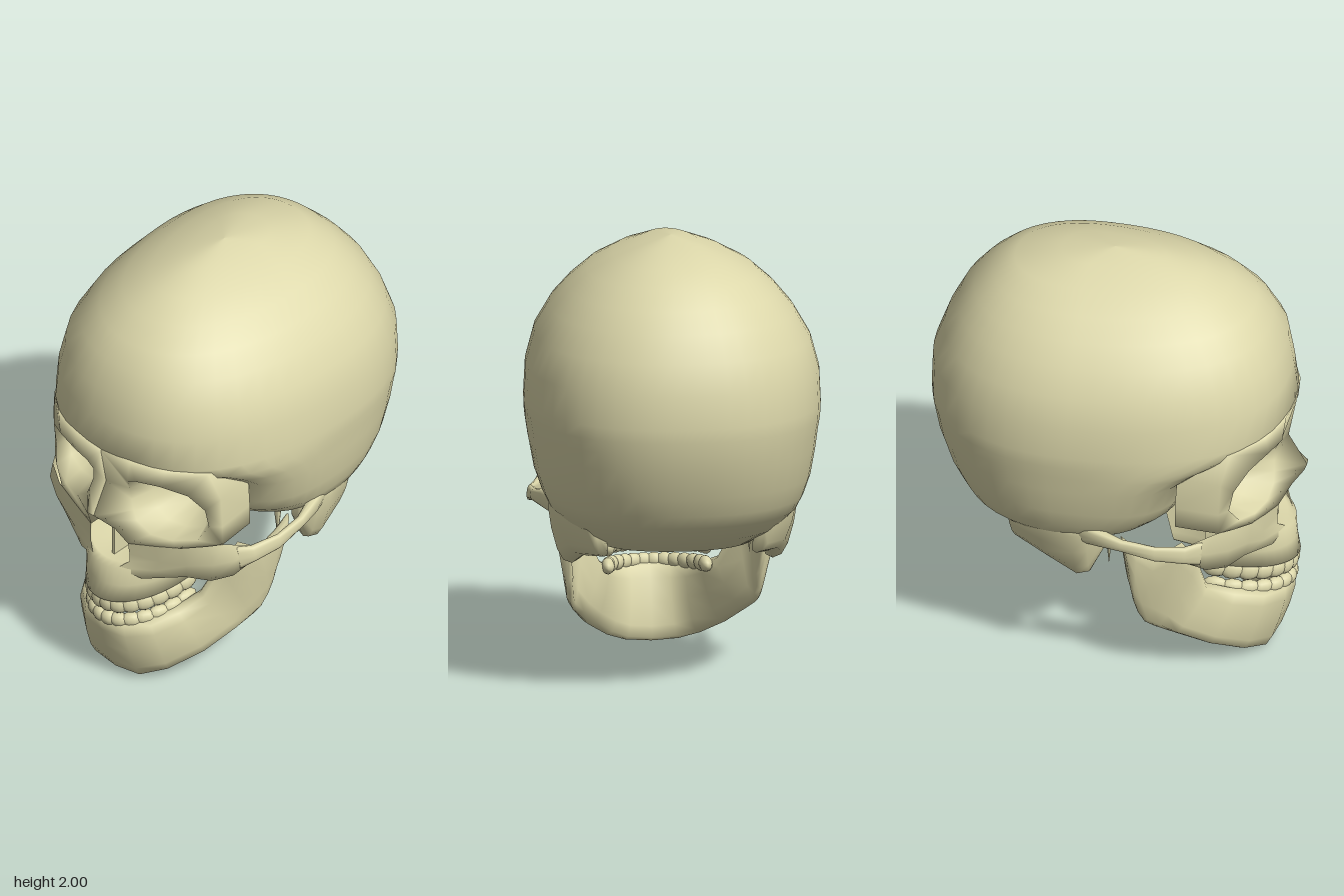
import * as THREE from 'three';

const V = (x, y, z) => new THREE.Vector3(x, y, z);
const bone = new THREE.MeshStandardMaterial({ color: 0xdcd7aa, side: THREE.DoubleSide });

function mesh(name, geometry) {
  const m = new THREE.Mesh(geometry, bone);
  m.name = name;
  return m;
}

// Smooth skin over rows of points; closed joins the end of each row to its start
function skin(rows, closed = false) {
  const n = rows[0].length, index = [];
  for (let i = 0; i < rows.length - 1; i++) {
    for (let j = 0; j < (closed ? n : n - 1); j++) {
      const k = (j + 1) % n;
      const a = i * n + j, b = a + n, c = (i + 1) * n + k, d = i * n + k;
      index.push(a, b, d, b, c, d);
    }
  }
  const g = new THREE.BufferGeometry().setFromPoints(rows.flat());
  g.setIndex(index);
  g.computeVertexNormals();
  return g;
}

// Bony plate swept through stations [lower edge xyz, upper edge xyz, half thickness]
function plate(stations) {
  const low = stations.map(s => V(s[0], s[1], s[2]));
  const up = stations.map(s => V(s[3], s[4], s[5]));
  const mid = low.map((p, i) => p.clone().lerp(up[i], 0.5));
  const pow = v => Math.sign(v) * Math.abs(v) ** 0.75;
  const rows = stations.map((s, i) => {
    const along = mid[Math.min(i + 1, mid.length - 1)].clone().sub(mid[Math.max(i - 1, 0)]);
    const axis = up[i].clone().sub(mid[i]);
    const out = along.cross(V(0, 1, 0)).normalize();
    return Array.from({ length: 12 }, (_, j) => {
      const a = j / 12 * Math.PI * 2;
      return mid[i].clone().addScaledVector(axis, pow(Math.cos(a))).addScaledVector(out, -s[6] * pow(Math.sin(a)));
    });
  });
  // Close both ends
  rows.unshift(rows[0].map(() => mid[0].clone()));
  rows.push(rows[0].map(() => mid[mid.length - 1].clone()));
  return skin(rows, true);
}

// Braincase rings: y, half width, back z, front z, squareness of the front half
function cranium() {
  const rings = [
    [2.0, 0, -0.03, -0.03, 2], [1.978, 0.13, -0.27, 0.21, 2], [1.925, 0.26, -0.48, 0.38, 2.1],
    [1.86, 0.375, -0.58, 0.5, 2.2], [1.78, 0.465, -0.66, 0.61, 2.2], [1.69, 0.54, -0.73, 0.68, 2.3],
    [1.57, 0.61, -0.79, 0.745, 2.3], [1.43, 0.648, -0.84, 0.768, 2.3], [1.28, 0.655, -0.845, 0.787, 2.3],
    [1.22, 0.652, -0.842, 0.7, 2.6], [1.16, 0.642, -0.83, 0.53, 3.4], [1.08, 0.632, -0.815, 0.41, 3.6],
    [0.95, 0.61, -0.77, 0.38, 3.2], [0.86, 0.58, -0.725, 0.34, 2.8], [0.8, 0.55, -0.69, 0.28, 2.5],
    [0.72, 0.47, -0.6, 0.1, 2.3], [0.645, 0.36, -0.45, 0, 2.2], [0.615, 0, -0.2, -0.2, 2],
  ];
  return skin(rings.map(([y, w, back, front, square]) => {
    const zc = Math.min(Math.max(-0.12, back), front);
    return Array.from({ length: 48 }, (_, j) => {
      const a = j / 48 * Math.PI * 2, s = Math.sin(a), c = Math.cos(a);
      const n = c > 0 ? square : 2.25;
      const r = (Math.abs(s) ** n + Math.abs(c) ** n) ** (-1 / n);
      return V(w * s * r, y, zc + c * r * (c > 0 ? front - zc : zc - back));
    });
  }), true);
}

// Eye socket with brow, nasal bone and side wall, as loops around the opening
function socket() {
  const rim = [
    V(0.12, 1.14, 0.75), V(0.18, 1.18, 0.765), V(0.3, 1.19, 0.73), V(0.4, 1.15, 0.66),
    V(0.45, 1.06, 0.6), V(0.455, 0.96, 0.58), V(0.42, 0.89, 0.62), V(0.32, 0.865, 0.67),
    V(0.22, 0.87, 0.705), V(0.15, 0.92, 0.72), V(0.13, 0.97, 0.72), V(0.115, 1.02, 0.715), V(0.11, 1.08, 0.72),
  ];
  const outer = [
    V(0, 1.28, 0.794), V(0.16, 1.29, 0.779), V(0.32, 1.28, 0.717), V(0.46, 1.26, 0.588),
    V(0.5, 1.12, 0.55), V(0.5, 0.96, 0.54), V(0.5, 0.86, 0.54), V(0.34, 0.825, 0.67),
    V(0.11, 0.78, 0.735), V(0.08, 0.88, 0.79), V(0.04, 0.935, 0.838), V(0, 0.94, 0.842), V(0, 1.09, 0.758),
  ];
  const centre = V(0.28, 1.03, 0.43);
  const back = outer.map(p => V(p.x * 0.97, p.y, p.z - 0.2));
  const inward = (f, g) => rim.map(p => {
    const q = p.clone().lerp(centre, f);
    q.z = p.z + (centre.z - p.z) * g;
    return q;
  });
  return skin([back, outer, rim, inward(0.15, 0.4), inward(0.45, 0.85), inward(1, 1)], true);
}

// Wall of the upper jaw beside the nose, running out into the cheekbone and back underneath
function cheekbone() {
  return skin([
    [V(0.11, 0.78, 0.735), V(0.24, 0.81, 0.7), V(0.36, 0.84, 0.665), V(0.46, 0.865, 0.6), V(0.505, 0.86, 0.53), V(0.53, 0.81, 0.43)],
    [V(0.115, 0.72, 0.73), V(0.26, 0.73, 0.695), V(0.39, 0.75, 0.655), V(0.49, 0.765, 0.585), V(0.54, 0.765, 0.49), V(0.565, 0.77, 0.39)],
    [V(0.115, 0.68, 0.73), V(0.24, 0.67, 0.695), V(0.36, 0.66, 0.63), V(0.46, 0.655, 0.57), V(0.52, 0.67, 0.49), V(0.56, 0.725, 0.39)],
    [V(0.07, 0.64, 0.765), V(0.18, 0.61, 0.72), V(0.25, 0.61, 0.6), V(0.29, 0.67, 0.5), V(0.41, 0.71, 0.44), V(0.53, 0.73, 0.37)],
  ]);
}

// Point on the dental arch; the line of the teeth climbs toward the back
const JAW_BACK = 0.43;
const archPoint = (w, front, y, t) =>
  V(w * Math.sin(t), y + 0.05 * (1 - Math.cos(t)), JAW_BACK + (front - JAW_BACK) * Math.cos(t));

function upperJaw() {
  const profile = [
    [0, 0.45, 0.65], [0.25, 0.75, 0.655], [0.26, 0.79, 0.64], [0.25, 0.795, 0.55],
    [0.24, 0.81, 0.465], [0.18, 0.73, 0.465], [0.15, 0.68, 0.54], [0, 0.43, 0.58],
  ];
  return skin(profile.map(([w, front, y]) =>
    Array.from({ length: 25 }, (_, i) => archPoint(w, front, y, (i / 24 - 0.5) * Math.PI))));
}

function teeth(name, w, front, y, height) {
  const row = new THREE.Group();
  row.name = name;
  const count = 14;
  for (let i = 0; i < count; i++) {
    const t = ((i + 0.5) / count - 0.5) * Math.PI;
    const tooth = mesh('tooth', new THREE.SphereGeometry(1, 10, 8));
    tooth.position.copy(archPoint(w, front, y, t));
    tooth.scale.set(0.042 + 0.018 * Math.abs(Math.sin(t)), height, 0.03);
    tooth.rotation.y = Math.atan2(Math.sin(t) / w, Math.cos(t) / (front - JAW_BACK));
    row.add(tooth);
  }
  return row;
}

// Lower jaw from chin to hinge, mirrored into one sweep
function lowerJaw() {
  const half = [
    [0, 0, 0.66, 0, 0.345, 0.765, 0.05], [0.12, 0.01, 0.65, 0.1, 0.345, 0.745, 0.05],
    [0.21, 0.05, 0.58, 0.18, 0.355, 0.675, 0.05], [0.305, 0.125, 0.45, 0.235, 0.385, 0.56, 0.05],
    [0.375, 0.21, 0.31, 0.28, 0.43, 0.44, 0.045], [0.41, 0.255, 0.235, 0.37, 0.62, 0.415, 0.035],
    [0.42, 0.28, 0.19, 0.43, 0.74, 0.36, 0.028], [0.425, 0.33, 0.16, 0.455, 0.66, 0.25, 0.025],
    [0.435, 0.4, 0.14, 0.475, 0.71, 0.16, 0.028], [0.45, 0.5, 0.125, 0.5, 0.785, 0.1, 0.03],
  ];
  const mirrored = half.slice(1).reverse().map(([a, b, c, d, e, f, t]) => [-a, b, c, -d, e, f, t]);
  return plate([...mirrored, ...half]);
}

// Parts found on both sides, built for the left
function sideParts(name) {
  const g = new THREE.Group();
  g.name = name;
  g.add(mesh('eyeSocket', socket()), mesh('cheekbone', cheekbone()));
  g.add(mesh('cheekArch', plate([
    [0.53, 0.7, 0.46, 0.52, 0.82, 0.47, 0.02], [0.56, 0.72, 0.39, 0.55, 0.8, 0.4, 0.02],
    [0.595, 0.74, 0.27, 0.59, 0.81, 0.27, 0.015], [0.59, 0.77, 0.12, 0.59, 0.825, 0.12, 0.02],
    [0.55, 0.76, 0, 0.56, 0.85, 0, 0.03], [0.5, 0.74, -0.1, 0.53, 0.86, -0.1, 0.03],
  ])));
  // Bony knob behind the ear opening, fading out along the base
  g.add(mesh('earKnob', plate([
    [0.46, 0.7, 0.02, 0.5, 0.84, 0, 0.03], [0.455, 0.55, -0.05, 0.52, 0.86, -0.05, 0.05],
    [0.45, 0.53, -0.1, 0.52, 0.86, -0.11, 0.06], [0.42, 0.595, -0.24, 0.5, 0.86, -0.25, 0.06],
    [0.34, 0.62, -0.4, 0.42, 0.84, -0.42, 0.04],
  ])));
  const spike = mesh('spike', new THREE.ConeGeometry(0.025, 0.24, 8));
  spike.position.set(0.36, 0.65, 0.015);
  spike.rotation.x = Math.PI;
  // Thin wing behind the palate
  const wing = mesh('palateWing', plate([
    [0.2, 0.56, 0.45, 0.2, 0.82, 0.42, 0.02], [0.19, 0.56, 0.38, 0.18, 0.84, 0.34, 0.015],
    [0.22, 0.6, 0.28, 0.2, 0.84, 0.22, 0.012],
  ]));
  g.add(spike, wing);
  return g;
}

export function createModel() {
  const skull = new THREE.Group();
  skull.name = 'skull';
  skull.add(mesh('cranium', cranium()));
  const left = sideParts('leftSide'), right = sideParts('rightSide');
  right.scale.x = -1;
  skull.add(left, right);

  // Nose divider and the wall behind the nose
  const septum = mesh('noseDivider', new THREE.BoxGeometry(0.015, 0.24, 0.28));
  septum.position.set(0, 0.76, 0.57);
  const wall = mesh('noseBackWall', new THREE.BoxGeometry(0.3, 0.3, 0.04));
  wall.position.set(0, 0.75, 0.43);
  skull.add(septum, wall);

  skull.add(mesh('upperJaw', upperJaw()), teeth('upperTeeth', 0.22, 0.778, 0.432, 0.045));
  skull.add(mesh('lowerJaw', lowerJaw()), teeth('lowerTeeth', 0.22, 0.77, 0.342, 0.036));
  return skull;
}
